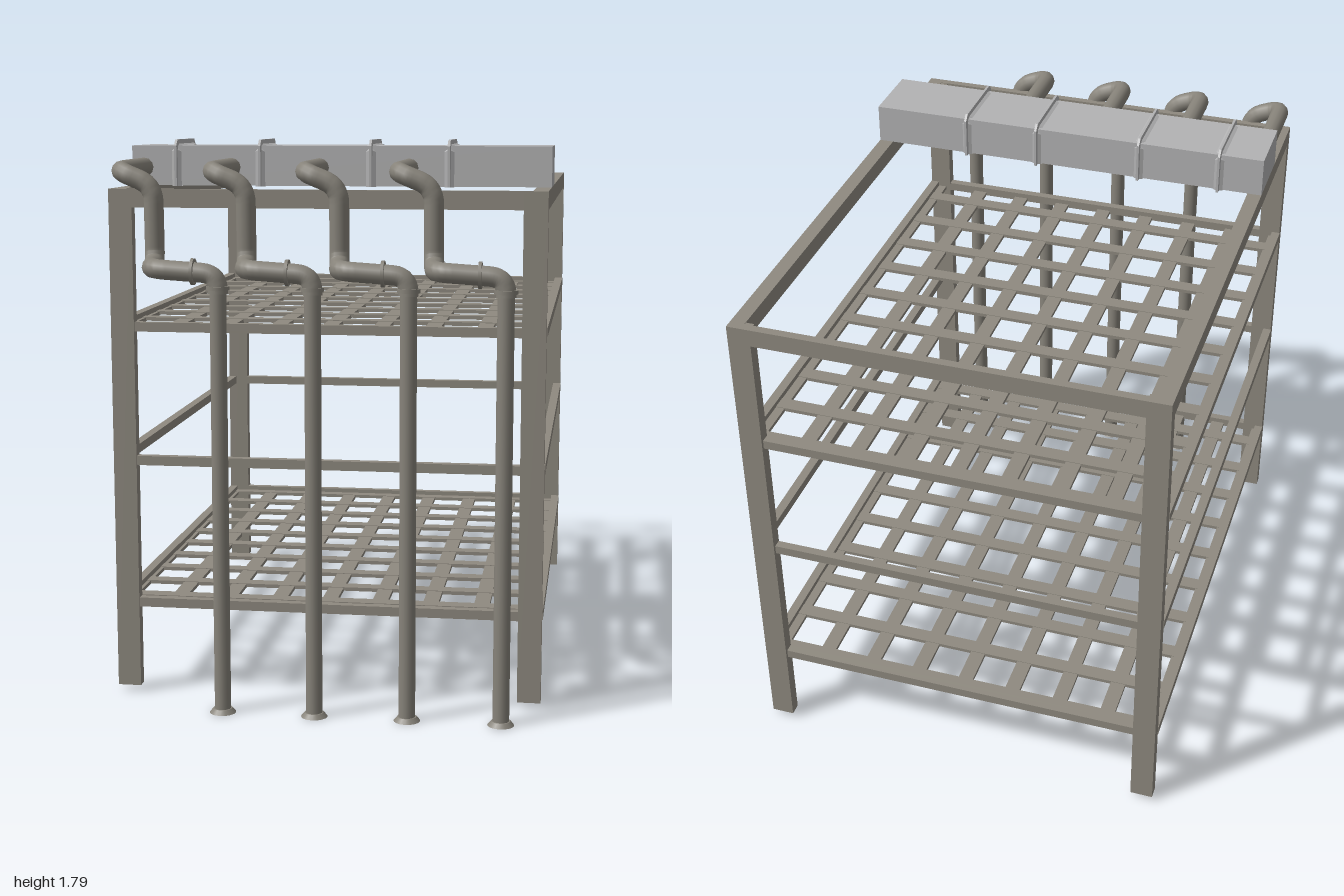
import * as THREE from 'three';

export function createModel() {
  const model = new THREE.Group();
  const steel = new THREE.MeshStandardMaterial({ color: 0x8f8a80 });
  steel.name = 'warm grey steel';
  const pipeSteel = new THREE.MeshStandardMaterial({ color: 0x87837a });
  pipeSteel.name = 'pipe steel';
  const sheet = new THREE.MeshStandardMaterial({ color: 0xb3b3b4 });
  sheet.name = 'light sheet metal';

  const add = (name, geometry, material, parent = model) => {
    const mesh = new THREE.Mesh(geometry, material);
    mesh.name = name;
    parent.add(mesh);
    return mesh;
  };
  // Box given by its minimum and maximum on each axis
  const bar = (name, [x0, x1], [y0, y1], [z0, z1], material = steel, parent = model) => {
    const mesh = add(name, new THREE.BoxGeometry(x1 - x0, y1 - y0, z1 - z0), material, parent);
    mesh.position.set((x0 + x1) / 2, (y0 + y1) / 2, (z0 + z1) / 2);
    return mesh;
  };
  const mirrored = (s, a, b) => (s > 0 ? [a, b] : [-b, -a]);

  // Legs and top beams
  const front = 0.797, back = -1;
  for (const s of [-1, 1]) {
    const side = s > 0 ? 'left' : 'right';
    bar(side + 'FrontLeg', mirrored(s, 0.615, 0.69), [0.02, 1.638], [0.76, front]);
    bar(side + 'BackLeg', mirrored(s, 0.615, 0.69), [0.02, 1.638], [back, -0.96]);
    bar(side + 'TopBeam', mirrored(s, 0.642, 0.69), [1.582, 1.64], [back, front]);
  }
  bar('frontTopBeam', [-0.642, 0.642], [1.582, 1.64], [0.772, front]);
  bar('backTopBeam', [-0.642, 0.642], [1.582, 1.64], [back, -0.972]);

  // Rails at three heights, lattice shelves at the upper and lower ones
  for (const y of [0.3, 0.77, 1.203]) {
    const level = new THREE.Group();
    level.name = 'railLevel';
    model.add(level);
    for (const s of [-1, 1]) bar('sideRail', mirrored(s, 0.662, 0.692), [y - 0.015, y + 0.015], [-0.962, 0.762], steel, level);
    bar('frontRail', [-0.67, 0.67], [y - 0.015, y + 0.015], [0.762, 0.79], steel, level);
    bar('backRail', [-0.67, 0.67], [y - 0.015, y + 0.015], [-0.99, -0.962], steel, level);
    if (y === 0.77) continue;
    for (let i = 0; i < 9; i++) {
      const x = -0.675 + i * 0.1665;
      bar('shelfLongSlat', [Math.max(x - 0.025, -0.69), Math.min(x + 0.025, 0.69)], [y - 0.014, y - 0.002], [-0.97, 0.77], steel, level);
    }
    for (let i = 0; i < 10; i++) {
      const z = -0.945 + i * 0.18;
      bar('shelfCrossSlat', [-0.67, 0.67], [y - 0.012, y], [z - 0.025, z + 0.025], steel, level);
    }
  }

  // Duct with raised seams
  bar('duct', [-0.69, 0.69], [1.64, 1.77], [0.267, 0.502], sheet);
  const seamShape = (grow) => {
    const z0 = 0.267 - grow, z1 = 0.502 + grow, y1 = 1.77 + grow, c = 0.02;
    return [[z0, 1.638], [z1, 1.638], [z1, y1 - c], [z1 - c, y1], [z0 + c, y1], [z0, y1 - c]];
  };
  const seamGeometry = () => {
    // Lofted cross-sections: wide foot, narrow ridge
    const sections = [[-0.016, 0.001], [-0.005, 0.006], [-0.004, 0.02], [0.004, 0.02], [0.005, 0.006], [0.016, 0.001]];
    const rings = sections.map(([x, g]) => seamShape(g).map(([z, y]) => [x, y, z]));
    const positions = [];
    for (let i = 0; i < rings.length - 1; i++) {
      for (let j = 0; j < 6; j++) {
        const k = (j + 1) % 6, a = rings[i][j], b = rings[i][k], c = rings[i + 1][k], d = rings[i + 1][j];
        positions.push(...a, ...b, ...c, ...a, ...c, ...d);
      }
    }
    const geometry = new THREE.BufferGeometry();
    geometry.setAttribute('position', new THREE.Float32BufferAttribute(positions, 3));
    geometry.computeVertexNormals();
    return geometry;
  };
  const seamSheet = sheet.clone();
  seamSheet.name = 'light sheet metal seam';
  seamSheet.side = THREE.DoubleSide;
  for (const x of [-0.54, -0.26, 0.105, 0.36]) add('ductSeam', seamGeometry(), seamSheet).position.x = x;

  // Tube along a polyline with rounded corners
  const pipeRun = (points, radius, bend) => {
    const v = points.map((p) => new THREE.Vector3(...p));
    const samples = [v[0]];
    for (let i = 1; i < v.length - 1; i++) {
      const toward = (q) => v[i].clone().add(q.clone().sub(v[i]).setLength(bend));
      samples.push(...new THREE.QuadraticBezierCurve3(toward(v[i - 1]), v[i], toward(v[i + 1])).getPoints(6));
    }
    samples.push(v[v.length - 1]);
    const path = new THREE.CurvePath();
    for (let i = 0; i < samples.length - 1; i++) path.add(new THREE.LineCurve3(samples[i], samples[i + 1]));
    return new THREE.TubeGeometry(path, 110, radius, 12);
  };

  // Four pipes stepping from the duct down to the ground
  for (let i = 0; i < 4; i++) {
    const pipe = new THREE.Group();
    pipe.name = 'pipe';
    pipe.position.x = -0.305 + i * 0.293;
    model.add(pipe);
    add('upperPipe', pipeRun([
      [-0.345, 1.7, 0.45], [-0.345, 1.697, 0.82], [-0.232, 1.652, 0.822], [-0.23, 1.408, 0.822],
      [-0.215, 1.403, 0.947], [0, 1.39, 0.955], [0, 1.33, 0.957],
    ], 0.031, 0.05), pipeSteel, pipe);
    add('downPipe', new THREE.CylinderGeometry(0.026, 0.026, 1.35, 16), pipeSteel, pipe).position.set(0, 0.675, 0.957);
    add('lowerCollar', new THREE.CylinderGeometry(0.036, 0.036, 0.012, 16), pipeSteel, pipe).position.set(0, 1.347, 0.957);
    const collar = add('elbowCollar', new THREE.CylinderGeometry(0.041, 0.041, 0.01, 16), pipeSteel, pipe);
    collar.rotation.z = Math.PI / 2;
    collar.position.set(-0.078, 1.396, 0.952);
    add('footFlange', new THREE.CylinderGeometry(0.03, 0.042, 0.014, 16), pipeSteel, pipe).position.set(0, 0.007, 0.957);
  }
  return model;
}
